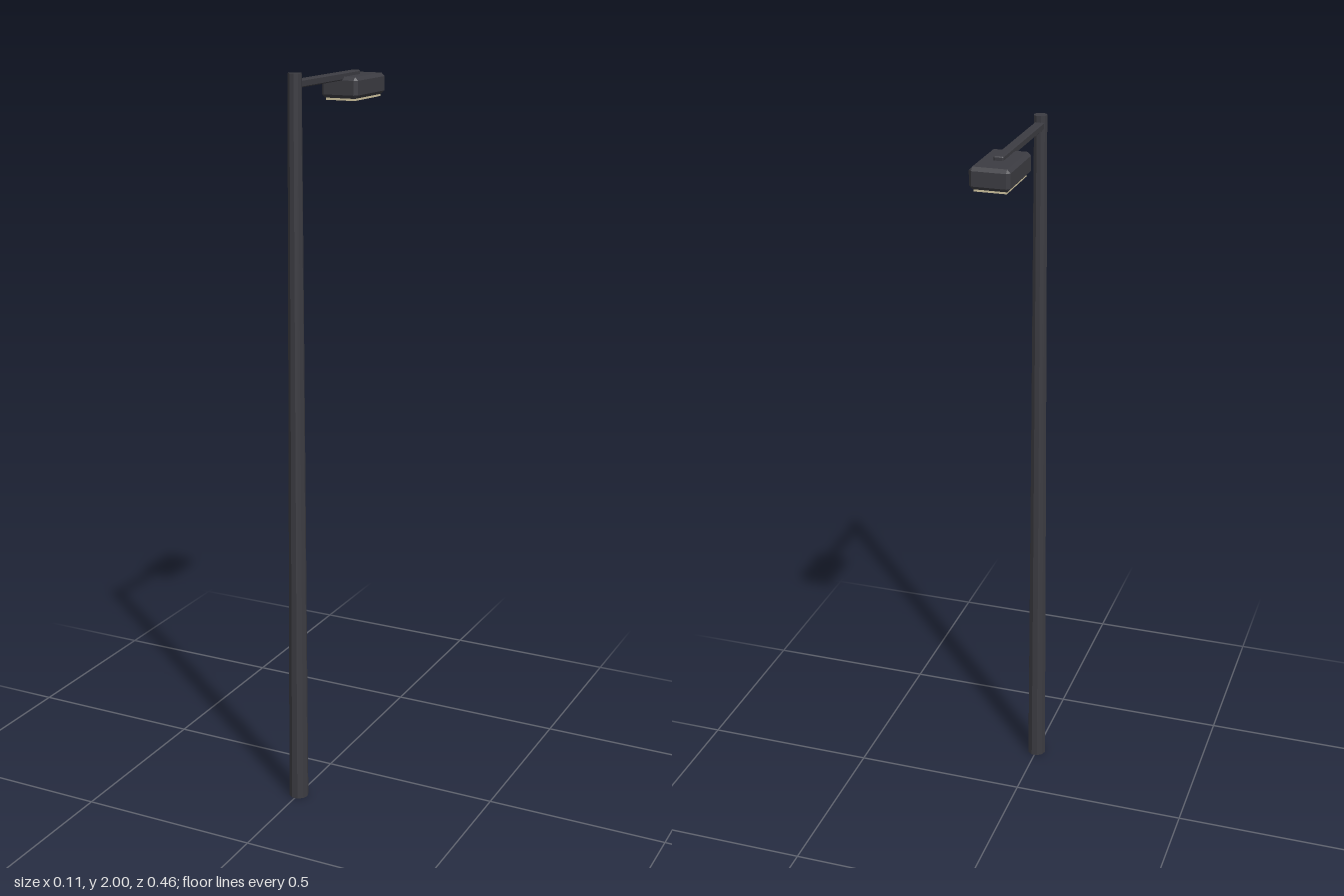
import * as THREE from 'three';
import { ConvexGeometry } from 'three/addons/geometries/ConvexGeometry.js';

// Box with every edge cut at 45 degrees
function chamferBox(w, h, d, b) {
  const points = [];
  for (const x of [-1, 1]) for (const y of [-1, 1]) for (const z of [-1, 1]) {
    for (let axis = 0; axis < 3; axis++) {
      const inset = [b, b, b];
      inset[axis] = 0;
      points.push(new THREE.Vector3(
        x * (w / 2 - inset[0]), y * (h / 2 - inset[1]), z * (d / 2 - inset[2])));
    }
  }
  return new ConvexGeometry(points);
}

export function createModel() {
  const model = new THREE.Group();
  model.name = 'streetLamp';
  const metal = new THREE.MeshStandardMaterial({ color: 0x3c3c42, flatShading: true });
  const glass = new THREE.MeshStandardMaterial({ color: 0xd0c4a0, flatShading: true });

  const add = (name, geometry, material, x, y, z) => {
    const mesh = new THREE.Mesh(geometry, material);
    mesh.name = name;
    mesh.position.set(x, y, z);
    model.add(mesh);
    return mesh;
  };

  // Tapered ten-sided pole
  const pole = new THREE.CylinderGeometry(0.018, 0.027, 2, 10).rotateY(Math.PI / 2);
  add('pole', pole, metal, 0, 1, 0.201);

  // Arm from the pole top out over the lamp head
  add('arm', chamferBox(0.025, 0.02, 0.355, 0.003), metal, 0, 1.973, 0.0225);

  // Lamp head with the lens set into its underside
  add('lampHead', chamferBox(0.106, 0.056, 0.183, 0.009), metal, 0, 1.944, -0.1375);
  add('lens', new THREE.BoxGeometry(0.084, 0.012, 0.16), glass, 0, 1.916, -0.1375);

  return model;
}
